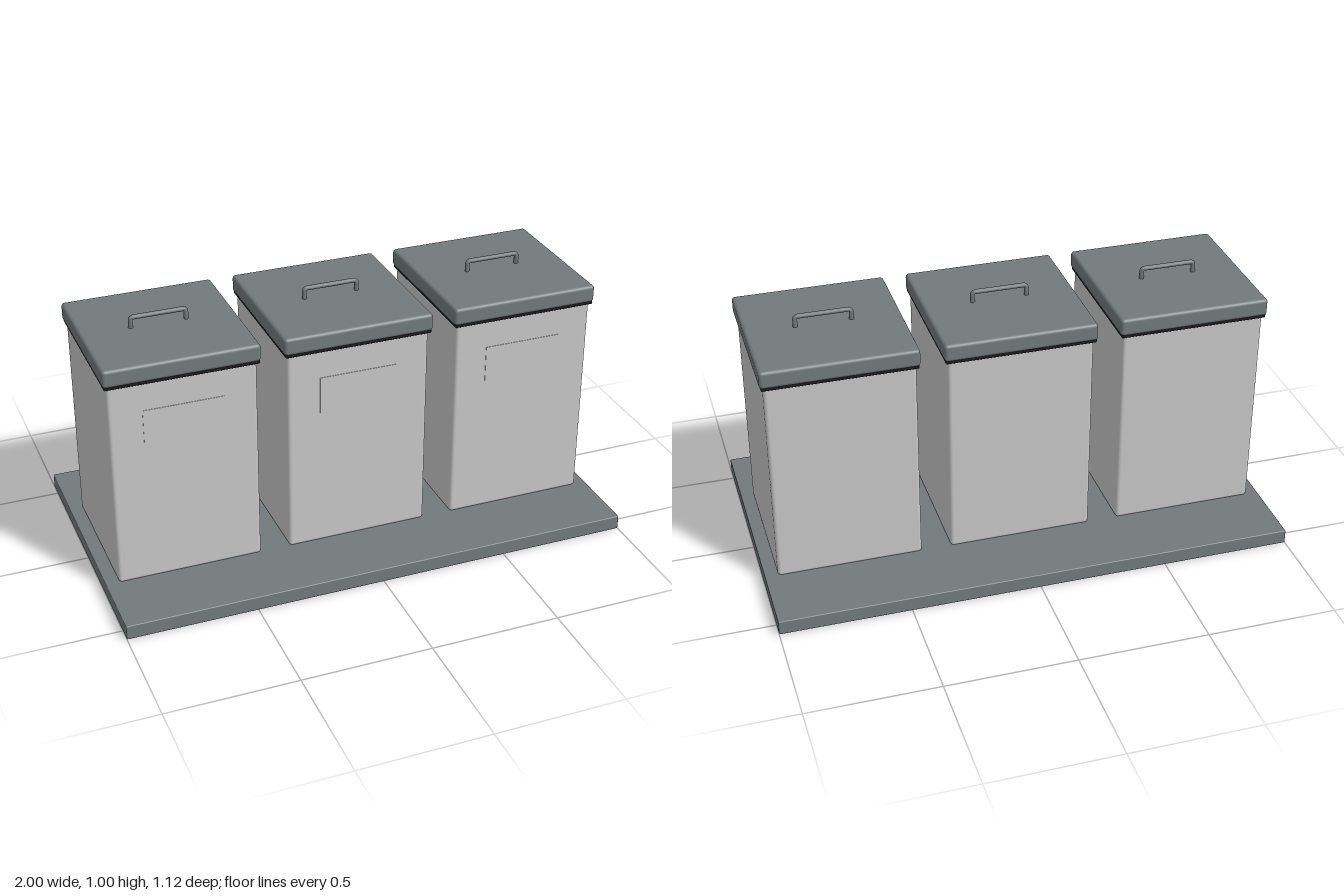
import * as THREE from 'three';
import { RoundedBoxGeometry } from 'three/addons/geometries/RoundedBoxGeometry.js';

const material = (name, color) => {
  const m = new THREE.MeshStandardMaterial({ color });
  m.name = name;
  return m;
};

export function createModel() {
  const slate = material('slate grey', 0x737a7c);
  const lightGrey = material('light grey', 0xc8c8c8);
  const black = material('black rubber', 0x1c1a1c);

  // Rounded block spanning y0 to y1
  const block = (name, mat, w, d, y0, y1, radius) => {
    const mesh = new THREE.Mesh(new RoundedBoxGeometry(w, y1 - y0, d, 3, radius), mat);
    mesh.position.y = (y0 + y1) / 2;
    mesh.name = name;
    return mesh;
  };

  // Handle: a bar bent into a flat bridge
  const handleGeometry = () => {
    const r = 0.009, x = 0.105, top = 0.991, foot = 0.945, bend = 0.012;
    const v = (px, py) => new THREE.Vector3(px, py, 0);
    const path = new THREE.CurvePath();
    path.add(new THREE.LineCurve3(v(-x, foot), v(-x, top - bend)));
    path.add(new THREE.QuadraticBezierCurve3(v(-x, top - bend), v(-x, top), v(-x + bend, top)));
    path.add(new THREE.LineCurve3(v(-x + bend, top), v(x - bend, top)));
    path.add(new THREE.QuadraticBezierCurve3(v(x - bend, top), v(x, top), v(x, top - bend)));
    path.add(new THREE.LineCurve3(v(x, top - bend), v(x, foot)));
    return new THREE.TubeGeometry(path, 72, r, 12, false);
  };

  const createBin = () => {
    const bin = new THREE.Group();
    bin.add(block('binBody', lightGrey, 0.558, 0.572, 0.055, 0.88, 0.014));
    bin.add(block('lidSeal', black, 0.574, 0.59, 0.872, 0.89, 0.004));
    bin.add(block('lid', slate, 0.584, 0.598, 0.882, 0.95, 0.013));

    // Blank panel on the front
    const label = new THREE.Mesh(new THREE.BoxGeometry(0.305, 0.146, 0.006), lightGrey);
    label.position.set(0, 0.691, 0.285);
    label.name = 'labelPanel';
    bin.add(label);

    const handle = new THREE.Mesh(handleGeometry(), slate);
    handle.name = 'lidHandle';
    bin.add(handle);
    return bin;
  };

  const model = new THREE.Group();
  model.name = 'threeBins';
  model.add(block('basePlate', slate, 2, 1.116, 0, 0.057, 0.004));

  // Row of three equal bins
  ['rightBin', 'middleBin', 'leftBin'].forEach((name, i) => {
    const bin = createBin();
    bin.name = name;
    bin.position.x = (i - 1) * 0.672;
    model.add(bin);
  });
  return model;
}
